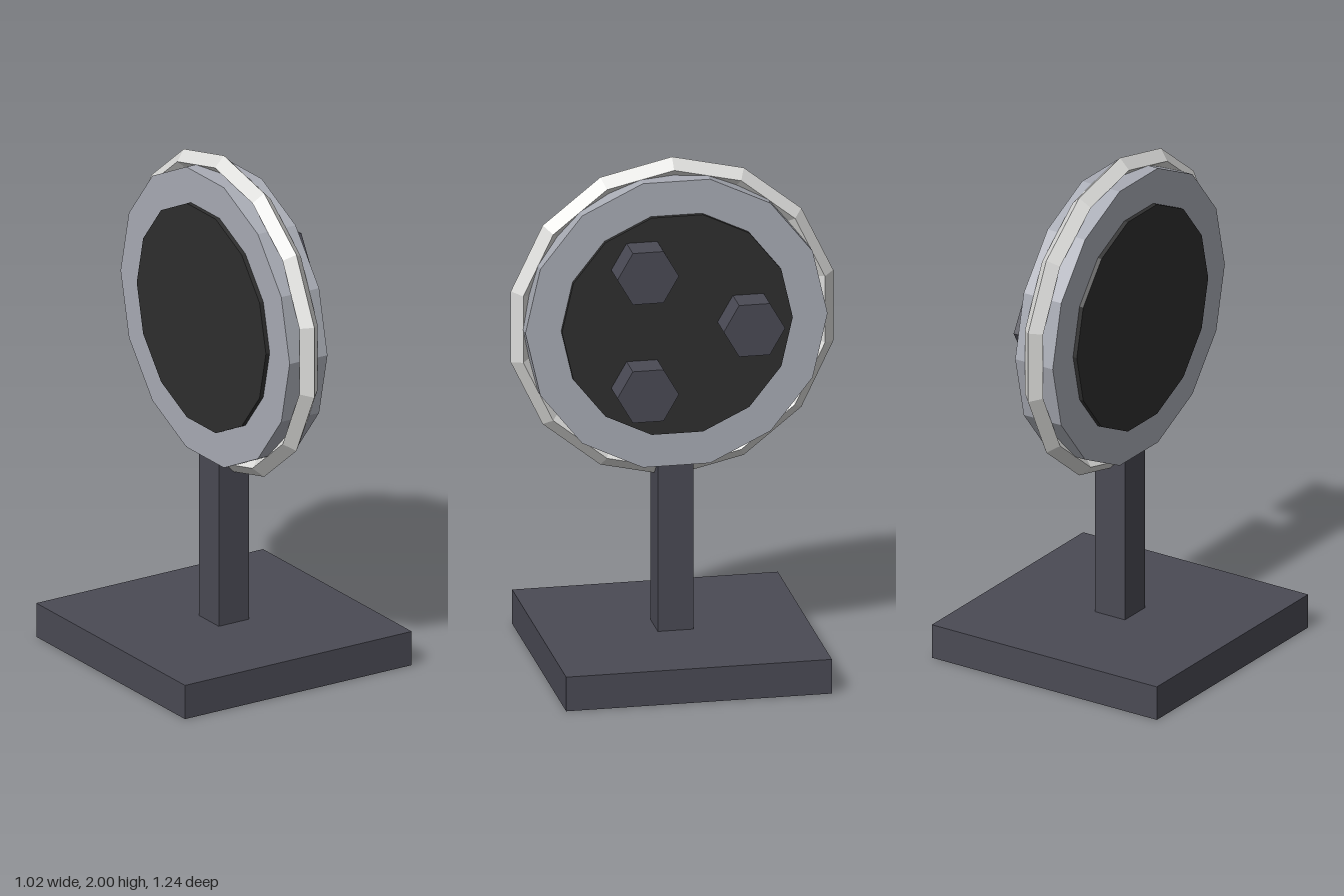
import * as THREE from 'three';

const HUB_Y = 1.365; // height of the wheel's centre

export function createModel() {
  const flat = (name, color) => {
    const m = new THREE.MeshStandardMaterial({ color, flatShading: true });
    m.name = name;
    return m;
  };
  const slate = flat('slate', 0x4a4a54);
  const steel = flat('steel', 0xa9acb5);
  const silver = flat('silver', 0xdcdcda);
  const charcoal = flat('charcoal', 0x2e2e2e);

  const model = new THREE.Group();
  model.name = 'discOnStand';

  const add = (parent, name, geometry, material, x, y, z) => {
    const mesh = new THREE.Mesh(geometry, material);
    mesh.name = name;
    mesh.position.set(x, y, z);
    parent.add(mesh);
  };
  // Cylinder lying along x, with corners on the z axis
  const disc = (radius, width, sides) =>
    new THREE.CylinderGeometry(radius, radius, width, sides).rotateZ(Math.PI / 2);

  // Stand: square base and post reaching into the wheel
  add(model, 'base', new THREE.BoxGeometry(1.02, 0.136, 1.02), slate, 0, 0.068, 0);
  add(model, 'post', new THREE.BoxGeometry(0.136, 0.78, 0.136), slate, 0, 0.526, 0);

  // Wheel: body, dark face plate showing on both sides, and diamond-section rim
  const wheel = new THREE.Group();
  wheel.name = 'wheel';
  wheel.position.y = HUB_Y;
  model.add(wheel);
  add(wheel, 'body', disc(0.58, 0.17, 14), steel, 0, 0, 0);
  add(wheel, 'facePlates', disc(0.443, 0.204, 14), charcoal, 0, 0, 0);
  const rim = new THREE.TorusGeometry(0.594, 0.041, 4, 14).rotateZ(Math.PI / 2).rotateY(Math.PI / 2);
  add(wheel, 'rim', rim, silver, 0, 0, 0);

  // Three hexagonal knobs spaced evenly on the +x face
  for (let i = 0; i < 3; i++) {
    const a = (i * Math.PI * 2) / 3;
    add(wheel, 'knob' + (i + 1), disc(0.118, 0.14, 6), slate,
      0.15, Math.sin(a) * 0.272, -Math.cos(a) * 0.272);
  }
  return model;
}
